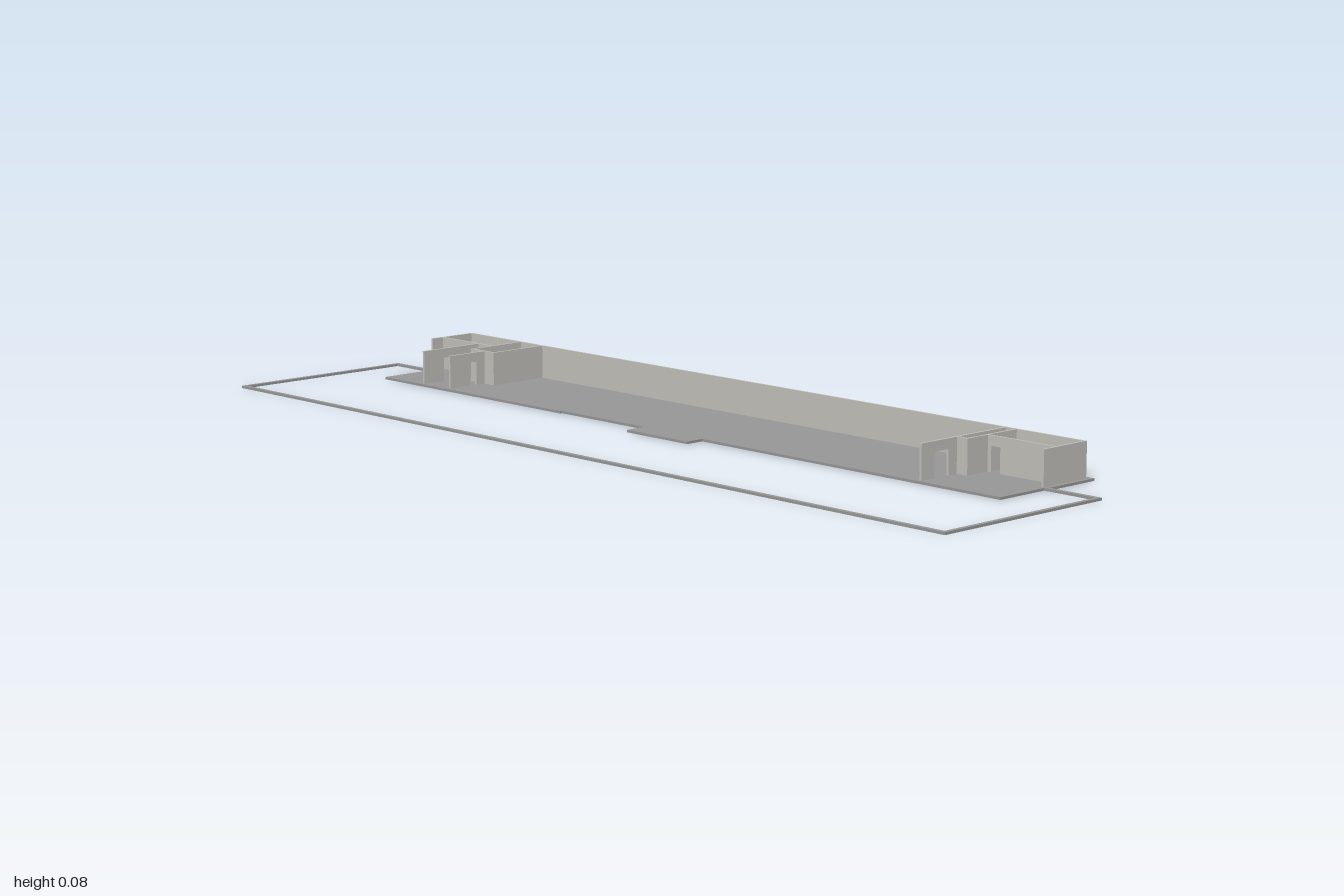
import * as THREE from 'three';

const FLOOR_TOP = 0.005, WALL_TOP = 0.075, DOOR_TOP = 0.055, THICK = 0.005;

export function createModel() {
  const model = new THREE.Group();
  model.name = 'floorPlan';
  const wallGrey = new THREE.MeshStandardMaterial({ color: 0xc0beb8 });
  wallGrey.name = 'wall grey';
  const slabGrey = new THREE.MeshStandardMaterial({ color: 0x969696 });
  slabGrey.name = 'slab grey';

  // Box given by its limits on each axis
  function block(parent, name, material, x0, x1, y0, y1, z0, z1) {
    const mesh = new THREE.Mesh(new THREE.BoxGeometry(x1 - x0, y1 - y0, z1 - z0), material);
    mesh.position.set((x0 + x1) / 2, (y0 + y1) / 2, (z0 + z1) / 2);
    mesh.name = name;
    parent.add(mesh);
  }

  // Straight wall along x or z, with an optional door opening [start, end]
  function wall(name, axis, at, from, to, door) {
    const group = new THREE.Group();
    group.name = name;
    const piece = (part, a, b, y0) => {
      const lo = at - THICK / 2, hi = at + THICK / 2;
      if (axis === 'x') block(group, part, wallGrey, a, b, y0, WALL_TOP, lo, hi);
      else block(group, part, wallGrey, lo, hi, y0, WALL_TOP, a, b);
    };
    if (door) {
      piece('wallBeforeDoor', from, door[0], FLOOR_TOP);
      piece('doorLintel', door[0], door[1], DOOR_TOP);
      piece('wallAfterDoor', door[1], to, FLOOR_TOP);
    } else piece('wallPanel', from, to, FLOOR_TOP);
    model.add(group);
  }

  // Floor slab with entrance step and stair opening, drawn as [x, z]
  const points = (list) => list.map(([x, z]) => new THREE.Vector2(x, -z));
  const outline = new THREE.Shape(points([
    [-0.882, -0.273], [0.879, -0.273], [0.879, -0.142], [0.873, -0.142], [0.873, -0.018],
    [0.107, -0.018], [0.107, 0.023], [-0.064, 0.023], [-0.064, -0.023], [-0.31, -0.023],
    [-0.31, -0.018], [-0.876, -0.018], [-0.876, -0.15], [-0.882, -0.15],
  ]));
  outline.holes.push(new THREE.Path(points([
    [-0.705, -0.263], [-0.705, -0.125], [-0.652, -0.125], [-0.652, -0.263],
  ])));
  const slab = new THREE.Mesh(
    new THREE.ExtrudeGeometry(outline, { depth: FLOOR_TOP, bevelEnabled: false }), slabGrey);
  slab.rotation.x = -Math.PI / 2;
  slab.name = 'floorSlab';
  model.add(slab);

  // Boundary kerb around the forecourt
  const kerb = new THREE.Group();
  kerb.name = 'boundaryKerb';
  const w = 0.009;
  block(kerb, 'kerbFront', slabGrey, -1, 1, 0, FLOOR_TOP, 0.273 - w, 0.273);
  block(kerb, 'kerbRight', slabGrey, -1, -1 + w, 0, FLOOR_TOP, -0.154, 0.273 - w);
  block(kerb, 'kerbLeft', slabGrey, 1 - w, 1, 0, FLOOR_TOP, -0.147, 0.273 - w);
  block(kerb, 'kerbReturnRight', slabGrey, -1 + w, -0.876, 0, FLOOR_TOP, -0.154, -0.154 + w);
  block(kerb, 'kerbReturnLeft', slabGrey, 0.873, 1 - w, 0, FLOOR_TOP, -0.147, -0.147 + w);
  model.add(kerb);

  // Outer walls
  wall('backWall', 'x', -0.2605, -0.876, 0.868);
  wall('rightEndWall', 'z', -0.8735, -0.258, -0.148);
  wall('leftEndWall', 'z', 0.8655, -0.258, -0.142);

  // Rooms at the right end, with the stair enclosure
  wall('rightRoomWall', 'x', -0.179, -0.871, -0.708, [-0.742, -0.72]);
  wall('rightOuterPartition', 'z', -0.754, -0.1765, -0.025, [-0.097, -0.079]);
  wall('rightInnerPartition', 'z', -0.668, -0.12, -0.025, [-0.097, -0.079]);
  wall('stairOuterWall', 'z', -0.7075, -0.258, -0.125);
  wall('stairInnerWall', 'z', -0.638, -0.258, -0.125);
  wall('stairFrontWall', 'x', -0.1225, -0.71, -0.6355, [-0.696, -0.674]);

  // Rooms at the left end
  wall('leftPartition', 'z', 0.675, -0.258, -0.023, [-0.097, -0.059]);
  wall('leftClosetWall', 'z', 0.701, -0.258, -0.125);
  wall('leftClosetFront', 'x', -0.1225, 0.6775, 0.7035);
  wall('leftRoomWall', 'x', -0.179, 0.7035, 0.863, [0.712, 0.734]);

  return model;
}
